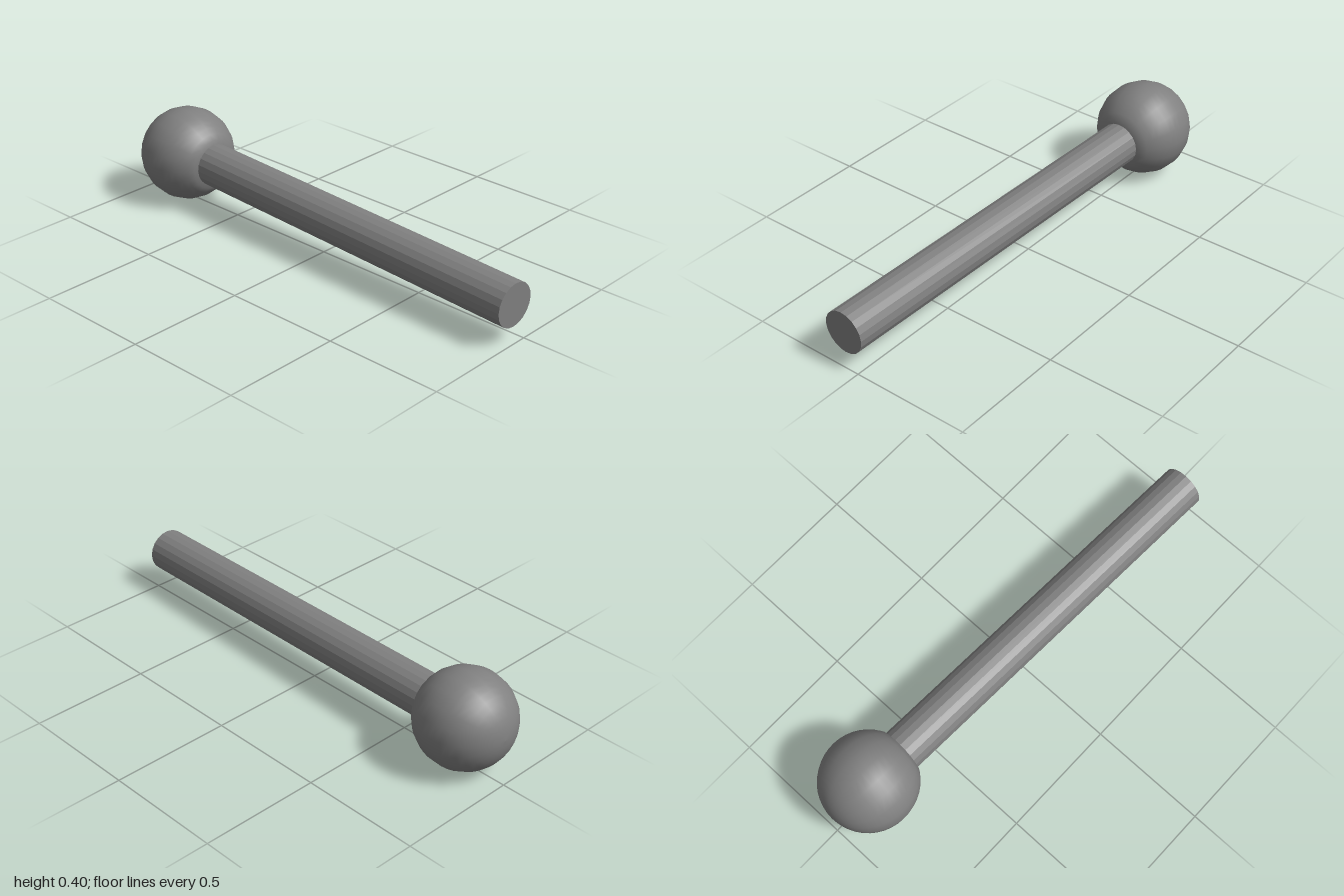
import * as THREE from 'three';

export function createModel() {
  const model = new THREE.Group();
  model.name = 'ballEndedRod';

  // Both parts share an axis that starts at the ball's centre and leans slightly
  const centre = new THREE.Vector3(0, 0.2, -0.8);
  const tip = new THREE.Vector3(-0.063, 0.161, 0.996);
  const axis = tip.clone().sub(centre);
  const length = axis.length();

  const body = new THREE.Group();
  body.name = 'body';
  body.position.copy(centre);
  body.quaternion.setFromUnitVectors(new THREE.Vector3(0, 1, 0), axis.normalize());
  model.add(body);

  // Smooth ball, slightly flattened where the rod enters it
  const profile = [];
  const steps = 18;
  for (let i = 0; i <= steps; i++) {
    const angle = THREE.MathUtils.degToRad(-90 + (147 * i) / steps);
    profile.push(new THREE.Vector2(0.2 * Math.cos(angle), 0.2 * Math.sin(angle)));
  }
  profile.push(new THREE.Vector2(0.08, 0.173));
  const ball = new THREE.Mesh(
    new THREE.LatheGeometry(profile, 20),
    new THREE.MeshStandardMaterial({ color: 0x808080 })
  );
  ball.name = 'ball';
  body.add(ball);

  // Faceted straight rod with a flat end
  const rod = new THREE.Mesh(
    new THREE.CylinderGeometry(0.0905, 0.0905, length, 20),
    new THREE.MeshStandardMaterial({ color: 0x808080, flatShading: true })
  );
  rod.name = 'rod';
  rod.position.y = length / 2;
  body.add(rod);

  return model;
}
